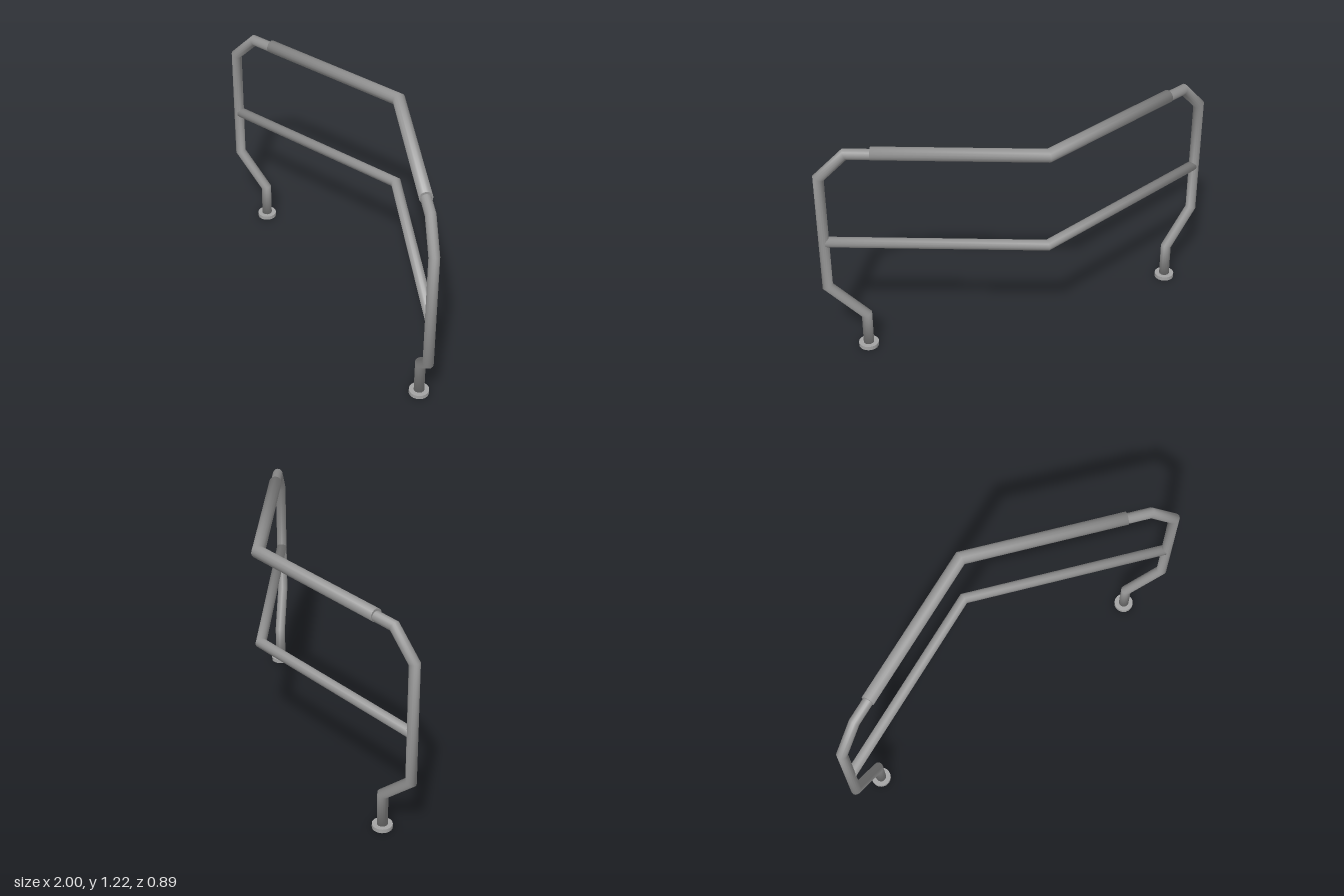
import * as THREE from 'three';

const SIDES = 16;
const pipeMaterial = new THREE.MeshStandardMaterial({ color: 0x969696 });
const plateMaterial = new THREE.MeshStandardMaterial({ color: 0xa4a4a4 });

// Round pipe along a polyline, with mitred bends, softly shaded joints and end caps
function pipe(name, points, radius) {
  const dirs = points.slice(1).map((p, i) => p.clone().sub(points[i]).normalize());
  const last = points.length - 1;
  const d0 = dirs[0];
  const helper = Math.abs(d0.y) > 0.9 ? new THREE.Vector3(1, 0, 0) : new THREE.Vector3(0, 1, 0);
  const u = helper.cross(d0).normalize();
  const v = d0.clone().cross(u);
  const positions = [];
  const normals = [];
  const index = [];
  const addRing = (ring, normalAt) => ring.forEach((p) => {
    const n = normalAt(p);
    positions.push(p.x, p.y, p.z);
    normals.push(n.x, n.y, n.z);
  });
  // Each joint blends the normals of the two directions meeting there;
  // the free ends blend with the direction of their caps
  const jointNormal = (k) => (p) => {
    const radial = (d) => p.clone().sub(points[k]).projectOnPlane(d).normalize();
    const before = k > 0 ? radial(dirs[k - 1]) : d0.clone().negate();
    const after = k < last ? radial(dirs[k]) : dirs[last - 1];
    return before.add(after).normalize();
  };

  const first = Array.from({ length: SIDES }, (_, i) => {
    const a = (i / SIDES) * Math.PI * 2;
    return points[0].clone().addScaledVector(u, Math.cos(a) * radius).addScaledVector(v, Math.sin(a) * radius);
  });
  let ring = first;
  addRing(ring, jointNormal(0));
  for (let k = 1; k <= last; k++) {
    // Slide the previous ring along the segment onto the next mitre plane
    const d = dirs[k - 1];
    const plane = d.clone().add(dirs[k] ?? d).normalize();
    ring = ring.map((p) => {
      const t = points[k].clone().sub(p).dot(plane) / d.dot(plane);
      return p.clone().addScaledVector(d, t);
    });
    addRing(ring, jointNormal(k));
    for (let i = 0; i < SIDES; i++) {
      const j = (i + 1) % SIDES;
      const a = (k - 1) * SIDES;
      const b = k * SIDES;
      index.push(a + i, a + j, b + j, a + i, b + j, b + i);
    }
  }
  // Flat end caps
  [[first, d0.clone().negate(), true], [ring, dirs[last - 1], false]].forEach(([rim, normal, flip]) => {
    const base = positions.length / 3;
    addRing(rim, () => normal);
    for (let i = 1; i < SIDES - 1; i++) {
      if (flip) index.push(base, base + i + 1, base + i);
      else index.push(base, base + i, base + i + 1);
    }
  });
  const geometry = new THREE.BufferGeometry();
  geometry.setAttribute('position', new THREE.Float32BufferAttribute(positions, 3));
  geometry.setAttribute('normal', new THREE.Float32BufferAttribute(normals, 3));
  geometry.setIndex(index);
  const mesh = new THREE.Mesh(geometry, pipeMaterial);
  mesh.name = name;
  return mesh;
}

// Ring-shaped foot plate
function footPlate(name, x, z) {
  const shape = new THREE.Shape().absarc(0, 0, 0.053, 0, Math.PI * 2);
  shape.holes.push(new THREE.Path().absarc(0, 0, 0.027, 0, Math.PI * 2, true));
  const geometry = new THREE.ExtrudeGeometry(shape, { depth: 0.022, bevelEnabled: false, curveSegments: 12 });
  geometry.rotateX(-Math.PI / 2);
  const mesh = new THREE.Mesh(geometry, plateMaterial);
  mesh.name = name;
  mesh.position.set(x, 0, z);
  return mesh;
}

export function createModel() {
  const group = new THREE.Group();
  group.name = 'guardRail';

  // Plan of the railing: a straight run, then a 45 degree run towards the front
  const corner = new THREE.Vector3(0.166, 0, -0.392);
  const straightEnd = new THREE.Vector3(-0.972, 0, -0.392);
  const angledEnd = new THREE.Vector3(0.972, 0, 0.415);

  // Point at a height, a given distance in from an outer end towards the corner
  const inset = (end, distance, y) => {
    const p = end.clone().addScaledVector(corner.clone().sub(end).normalize(), distance);
    return p.setY(y);
  };
  const atCorner = (y) => corner.clone().setY(y);

  // Profile of each post: [inset, height] from foot to top rail
  const profile = [[0.194, 0.006], [0.194, 0.205], [0, 0.382], [0, 1.044], [0.139, 1.184]];
  const post = (end) => profile.map(([d, y]) => inset(end, d, y));

  group.add(pipe('mainFrame', [...post(straightEnd), atCorner(1.184), ...post(angledEnd).reverse()], 0.028));
  group.add(pipe('handrailSleeve', [
    inset(straightEnd, 0.262, 1.19), atCorner(1.19), inset(angledEnd, 0.267, 1.19),
  ], 0.0345));
  group.add(pipe('middleRail', [
    inset(straightEnd, 0.01, 0.66), atCorner(0.66), inset(angledEnd, 0.01, 0.66),
  ], 0.028));

  // Foot plates
  [['rightFootPlate', straightEnd], ['leftFootPlate', angledEnd]].forEach(([name, end]) => {
    const p = inset(end, 0.194, 0);
    group.add(footPlate(name, p.x, p.z));
  });
  return group;
}
